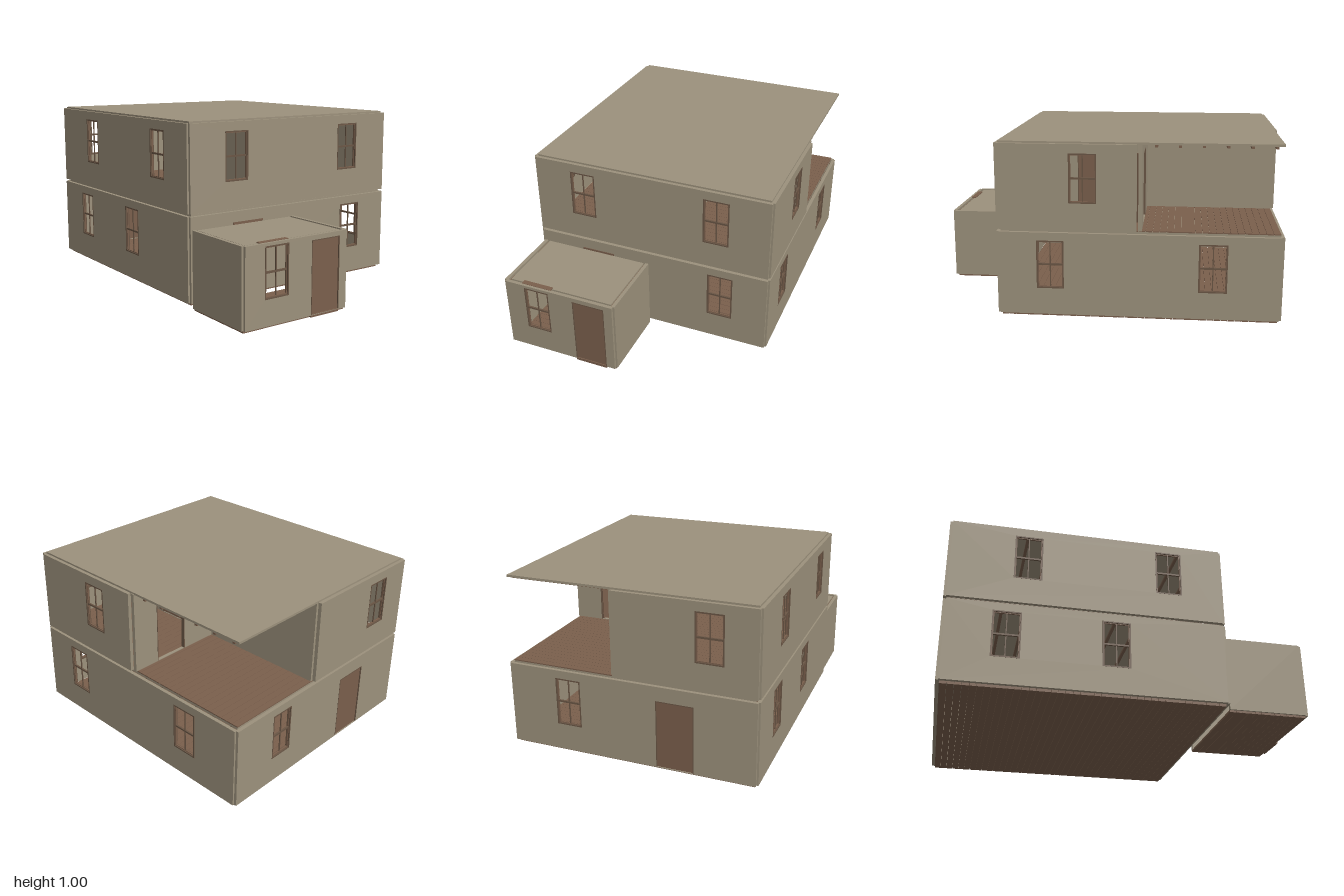
import * as THREE from 'three';

const mat = (name, color) => {
  const m = new THREE.MeshStandardMaterial({ color });
  m.name = name;
  return m;
};

export function createModel() {
  const plaster = mat('plaster', 0x9c917c);
  const wood = mat('wood', 0x7a5f4c);
  const frameWood = mat('frame wood', 0x6a5645);
  const iron = mat('iron', 0x1c1a18);

  const house = new THREE.Group();
  house.name = 'house';

  // Box given by its min and max corners
  function box(parent, name, m, x0, x1, y0, y1, z0, z1) {
    const mesh = new THREE.Mesh(new THREE.BoxGeometry(x1 - x0, y1 - y0, z1 - z0), m);
    mesh.position.set((x0 + x1) / 2, (y0 + y1) / 2, (z0 + z1) / 2);
    mesh.name = name;
    parent.add(mesh);
    return mesh;
  }

  // Rectangular border made of four bars
  function border(g, name, m, [u0, u1, y0, y1], w, d0, d1) {
    box(g, name, m, u0, u0 + w, y0, y1, d0, d1);
    box(g, name, m, u1 - w, u1, y0, y1, d0, d1);
    box(g, name, m, u0 + w, u1 - w, y0, y0 + w, d0, d1);
    box(g, name, m, u0 + w, u1 - w, y1 - w, y1, d0, d1);
  }

  // Two sash window, each sash split by a glazing bar
  function windowUnit(parent, [u0, u1, y0, y1], t) {
    const g = new THREE.Group();
    g.name = 'window';
    const ym = (y0 + y1) / 2, um = (u0 + u1) / 2;
    border(g, 'windowFrame', frameWood, [u0, u1, y0, y1], 0.007, -0.001, t + 0.001);
    border(g, 'sash', wood, [u0 + 0.007, u1 - 0.007, y0 + 0.007, y1 - 0.007], 0.004, t * 0.3, t * 0.7);
    box(g, 'meetingRail', frameWood, u0 + 0.007, u1 - 0.007, ym - 0.005, ym + 0.005, t * 0.25, t * 0.75);
    box(g, 'glazingBar', frameWood, um - 0.003, um + 0.003, y0 + 0.007, y1 - 0.007, t * 0.35, t * 0.65);
    parent.add(g);
  }

  // Framed door; open is the swing angle about the high-u jamb
  function doorUnit(parent, [u0, u1, y0, y1], t, open = 0) {
    const g = new THREE.Group();
    g.name = 'door';
    const w = 0.005;
    box(g, 'doorFrame', frameWood, u0, u0 + w, y0, y1, -0.001, t + 0.001);
    box(g, 'doorFrame', frameWood, u1 - w, u1, y0, y1, -0.001, t + 0.001);
    box(g, 'doorFrame', frameWood, u0 + w, u1 - w, y1 - w, y1, -0.001, t + 0.001);
    const leaf = new THREE.Group();
    leaf.name = 'doorLeaf';
    leaf.position.set(u1 - w, 0, t / 2);
    leaf.rotation.y = open;
    const width = u1 - u0 - 2 * w;
    box(leaf, 'doorPanel', wood, -width, 0, y0, y1 - w, -0.005, 0.005);
    if (open) {
      const knob = new THREE.Mesh(new THREE.SphereGeometry(0.007, 10, 8), iron);
      knob.name = 'doorKnob';
      knob.position.set(-width + 0.015, y0 + 0.17, 0.01);
      leaf.add(knob);
    }
    g.add(leaf);
    parent.add(g);
  }

  // Wall panel with openings. axis 'x' runs along x at z = pos; axis 'z' runs along z at x = pos
  function wall(name, axis, pos, [u0, u1], [y0, y1], { windows = [], doors = [], open = 0, t = 0.02 } = {}) {
    const rect = (P, a, b, c, d) => {
      const p = new P();
      p.moveTo(a, c);
      p.lineTo(b, c);
      p.lineTo(b, d);
      p.lineTo(a, d);
      p.closePath();
      return p;
    };
    const shape = rect(THREE.Shape, u0, u1, y0, y1);
    for (const [a, b, c, d] of [...windows, ...doors]) shape.holes.push(rect(THREE.Path, a, b, c, d));
    const g = new THREE.Group();
    g.name = name;
    const panel = new THREE.Mesh(new THREE.ExtrudeGeometry(shape, { depth: t, bevelEnabled: false }), plaster);
    panel.name = name + 'Panel';
    g.add(panel);
    windows.forEach((o) => windowUnit(g, o, t));
    doors.forEach((o) => doorUnit(g, o, t, open));
    if (axis === 'x') g.position.z = pos;
    else {
      g.rotation.y = -Math.PI / 2;
      g.position.x = pos + t;
    }
    house.add(g);
  }

  // Floor of boards running along x
  function boards(name, x0, x1, y0, y1, z0, z1, n) {
    const g = new THREE.Group();
    g.name = name;
    const step = (z1 - z0) / n;
    for (let i = 0; i < n; i++) {
      box(g, 'board', wood, x0, x1, y0, y1, z0 + i * step, z0 + (i + 1) * step - 0.0015);
    }
    house.add(g);
  }

  const low = (a, b) => [a, b, 0.19, 0.46];
  const high = (a, b) => [a, b, 0.67, 0.94];
  const G = [0.04, 0.505], U = [0.52, 0.99];

  // Ground storey
  boards('groundFloor', -0.69, 0.69, 0.025, 0.04, -0.98, 0.53, 40);
  wall('groundFrontWall', 'x', 0.53, [-0.7, 0.7], G, { windows: [low(0.35, 0.5)], doors: [[-0.43, -0.23, 0.044, 0.446]] });
  wall('groundBackWall', 'x', -1, [-0.7, 0.7], G, { windows: [low(0.28, 0.425)], doors: [[-0.365, -0.155, 0.044, 0.425]] });
  wall('groundRightWall', 'z', 0.69, [-0.985, 0.535], G, { windows: [low(0.18, 0.33), low(-0.705, -0.55)] });
  wall('groundLeftWall', 'z', -0.71, [-0.985, 0.535], G, { windows: [low(-0.74, -0.585), low(-0.15, 0.005)] });

  // Upper floor slab and boards
  box(house, 'upperFloorSlab', plaster, -0.685, 0.685, 0.503, 0.515, -0.98, 0.53);
  boards('upperFloor', -0.685, 0.685, 0.515, 0.521, -0.98, 0.53, 40);

  // Upper storey, leaving an open terrace at one back corner
  wall('upperFrontWall', 'x', 0.53, [-0.7, 0.7], U, { windows: [high(-0.48, -0.33), high(0.32, 0.47)] });
  wall('upperRightWall', 'z', 0.69, [-0.215, 0.535], U, { windows: [high(0, 0.15)] });
  wall('upperLeftWall', 'z', -0.71, [-0.985, 0.535], U, { windows: [high(-0.64, -0.485), high(0.155, 0.305)] });
  wall('upperBackWall', 'x', -1, [-0.7, 0.085], U, { windows: [high(-0.525, -0.37)] });
  wall('terraceBackWall', 'x', -0.243, [0.1, 0.695], U, { doors: [[0.325, 0.535, 0.524, 0.92]], open: 1.05 });
  wall('upperInnerWall', 'z', 0.08, [-0.98, 0.53], U, { doors: [[-0.03, 0.18, 0.524, 0.92]] });

  // Roof slab with joists below
  box(house, 'roof', plaster, -0.69, 0.69, 0.988, 1, -0.98, 0.53);
  for (let i = 0; i < 12; i++) {
    const z = -0.94 + i * 0.125;
    box(house, 'roofJoist', wood, -0.685, 0.685, 0.975, 0.988, z - 0.008, z + 0.008);
    box(house, 'floorJoist', wood, -0.685, 0.685, 0.49, 0.503, z - 0.008, z + 0.008);
  }

  // Front annex
  const A = [0.012, 0.435];
  boards('annexFloor', -0.68, -0.02, 0, 0.012, 0.55, 0.985, 12);
  wall('annexFrontWall', 'x', 0.98, [-0.68, -0.02], A, {
    windows: [[-0.56, -0.41, 0.15, 0.42]], doors: [[-0.26, -0.07, 0.016, 0.41]],
  });
  wall('annexLeftWall', 'z', -0.69, [0.55, 0.985], A);
  wall('annexRightWall', 'z', -0.03, [0.55, 0.985], A);
  box(house, 'annexCeilingBoards', wood, -0.67, -0.03, 0.415, 0.422, 0.55, 0.98);
  box(house, 'annexRoof', plaster, -0.66, -0.04, 0.422, 0.432, 0.55, 0.966);
  box(house, 'annexLintel', wood, -0.58, -0.4, 0.43, 0.437, 0.955, 0.985);
  box(house, 'innerDoorLintel', wood, -0.43, -0.23, 0.436, 0.446, 0.545, 0.553);
  box(house, 'doorSill', wood, -0.26, -0.07, 0.002, 0.018, 0.975, 1);

  return house;
}
